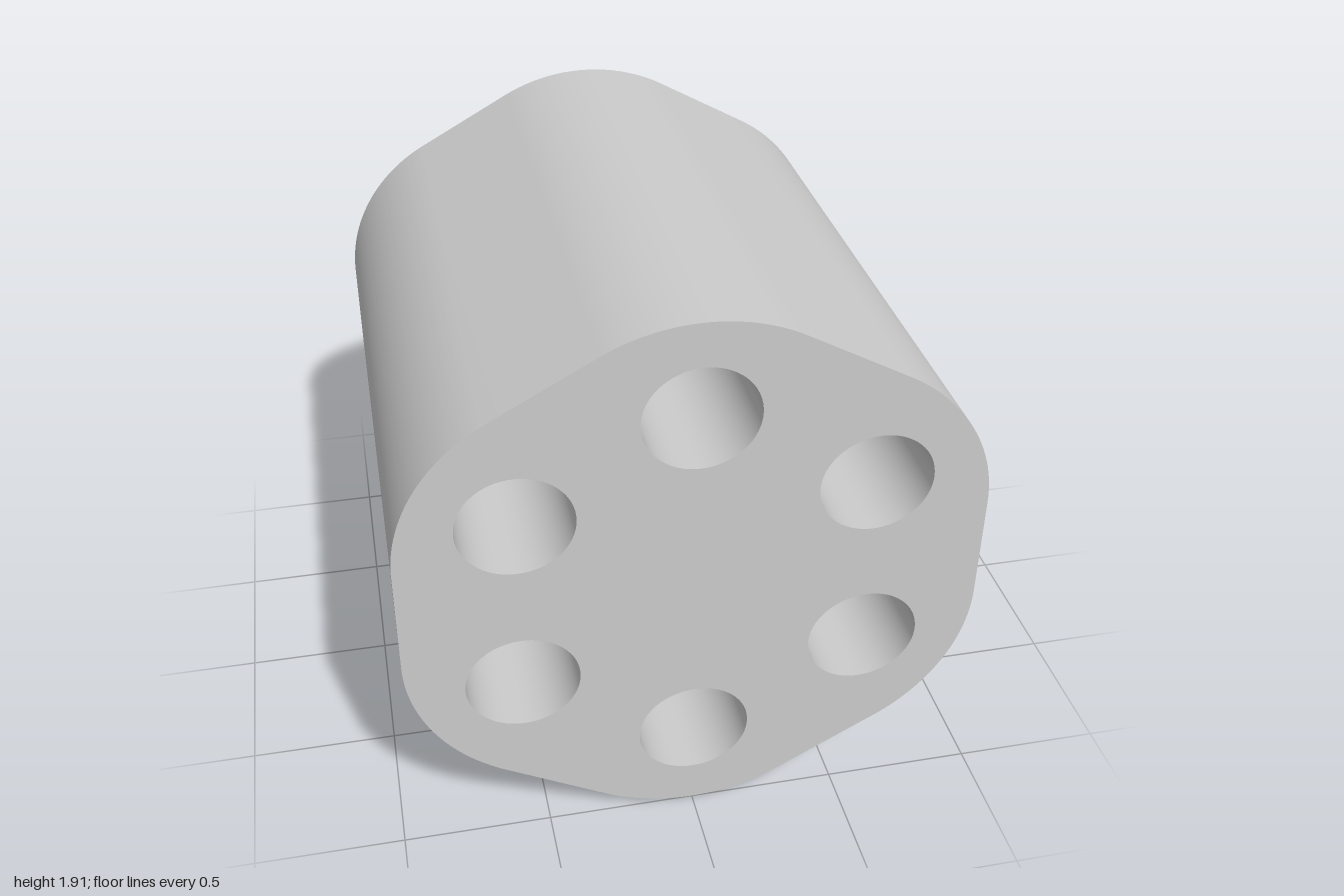
import * as THREE from 'three';
import { toCreasedNormals } from 'three/addons/utils/BufferGeometryUtils.js';

const HEIGHT = 1.91, LENGTH = 2;
const STRETCH = 1.048;                  // block is slightly wider than tall
const CORNER_R = 0.59, CORNER_D = 0.365; // rounded corners: radius and centre distance
const HOLE_R = 0.178, HOLE_D = 0.627;    // six bores on a circle

export function createModel() {
  const group = new THREE.Group();
  const outline = new THREE.Shape();

  // Rounded hexagon with a bore near each corner
  for (let i = 0; i < 6; i++) {
    const a = Math.PI / 2 + (i * Math.PI) / 3;
    const c = Math.cos(a), s = Math.sin(a);
    outline.absarc(c * CORNER_D, s * CORNER_D, CORNER_R, a - Math.PI / 6, a + Math.PI / 6, false);
    const bore = new THREE.Path();
    bore.absarc(c * HOLE_D, s * HOLE_D, HOLE_R, 0, Math.PI * 2, true);
    outline.holes.push(bore);
  }
  outline.closePath();

  let geometry = new THREE.ExtrudeGeometry(outline, {
    depth: LENGTH, bevelEnabled: false, curveSegments: 32,
  });
  geometry.translate(0, 0, -LENGTH / 2);
  geometry.scale(STRETCH, 1, 1);
  geometry.translate(0, HEIGHT / 2, 0);
  geometry = toCreasedNormals(geometry, Math.PI / 6);

  const block = new THREE.Mesh(geometry, new THREE.MeshStandardMaterial({ color: 0xcccccc }));
  block.name = 'boredBlock';
  group.add(block);
  return group;
}
